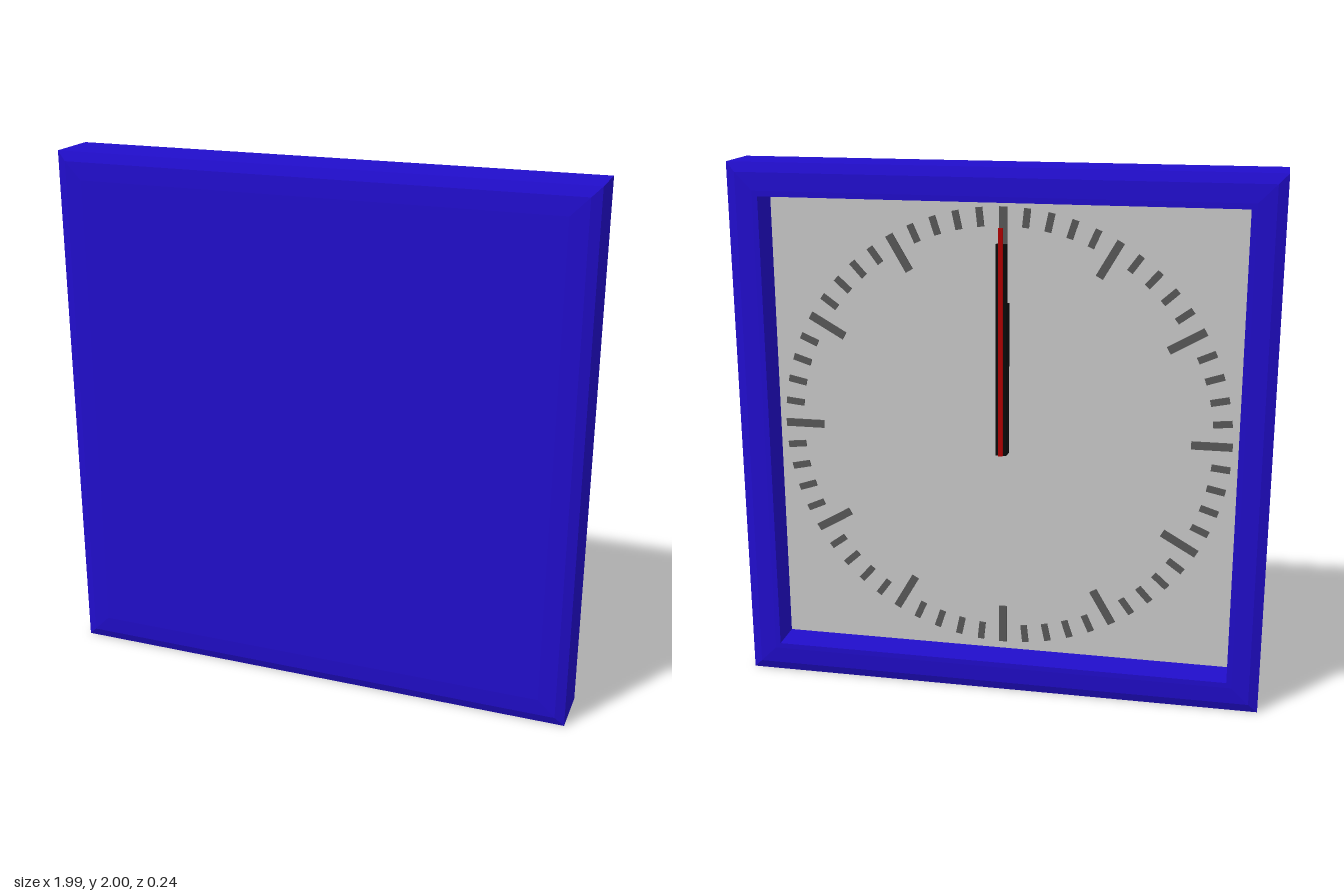
import * as THREE from 'three';

const paint = (name, color) => {
  const m = new THREE.MeshStandardMaterial({ color });
  m.name = name;
  return m;
};

export function createModel() {
  const blue = paint('blue', 0x210dcc);
  const grey = paint('pale grey', 0xcacaca);
  const dark = paint('dark grey', 0x585858);
  const black = paint('black', 0x0a0a0a);
  const red = paint('red', 0xb00000);

  const clock = new THREE.Group();
  clock.name = 'wallClock';
  clock.position.y = 1;

  const add = (name, geometry, material, parent = clock) => {
    const mesh = new THREE.Mesh(geometry, material);
    mesh.name = name;
    parent.add(mesh);
    return mesh;
  };

  // Square case: a four-sided lathe, [half width, z] from the recess floor around to the closed side
  const dialZ = 0.012;
  const profile = [
    [0.88, dialZ], [0.88, -0.12], [0.9, -0.12], [0.965, -0.115], [1, -0.1],
    [1, 0.1], [0.965, 0.115], [0.9, 0.12], [0, 0.12],
  ].map(([r, z]) => new THREE.Vector2(r * Math.SQRT2, z));
  let caseGeo = new THREE.LatheGeometry(profile, 4, Math.PI / 4);
  caseGeo.rotateX(Math.PI / 2);
  caseGeo.scale(0.993, 1, 1);
  caseGeo = caseGeo.toNonIndexed();
  caseGeo.computeVertexNormals();
  add('case', caseGeo, blue);

  // Dial at the bottom of the recess, facing -z
  const dial = add('dial', new THREE.PlaneGeometry(1.75, 1.762), grey);
  dial.rotation.y = Math.PI;
  dial.position.z = dialZ;

  // Sixty marks, every fifth one longer
  const marks = new THREE.Group();
  marks.name = 'marks';
  clock.add(marks);
  const outer = 0.85;
  for (let i = 0; i < 60; i++) {
    const hour = i % 5 === 0;
    const length = hour ? 0.15 : 0.07;
    const geo = new THREE.BoxGeometry(hour ? 0.03 : 0.025, length, 0.006);
    geo.translate(0, outer - length / 2, dialZ - 0.003);
    const mark = add(hour ? 'hourMark' : 'minuteMark', geo, dark, marks);
    mark.rotation.z = (i / 60) * Math.PI * 2;
  }

  // Hands stacked outward, all pointing to twelve
  const hand = (name, width, tip, zNear, zFar, material) => {
    const tail = 0.07;
    const geo = new THREE.BoxGeometry(width, tip + tail, zNear - zFar);
    geo.translate(0, (tip - tail) / 2, (zNear + zFar) / 2);
    add(name, geo, material);
  };
  hand('hourHand', 0.045, 0.5, dialZ, -0.014, black);
  hand('minuteHand', 0.04, 0.72, -0.014, -0.034, black);
  hand('secondHand', 0.016, 0.78, -0.034, -0.044, red);

  const model = new THREE.Group();
  model.name = 'model';
  model.add(clock);
  return model;
}
